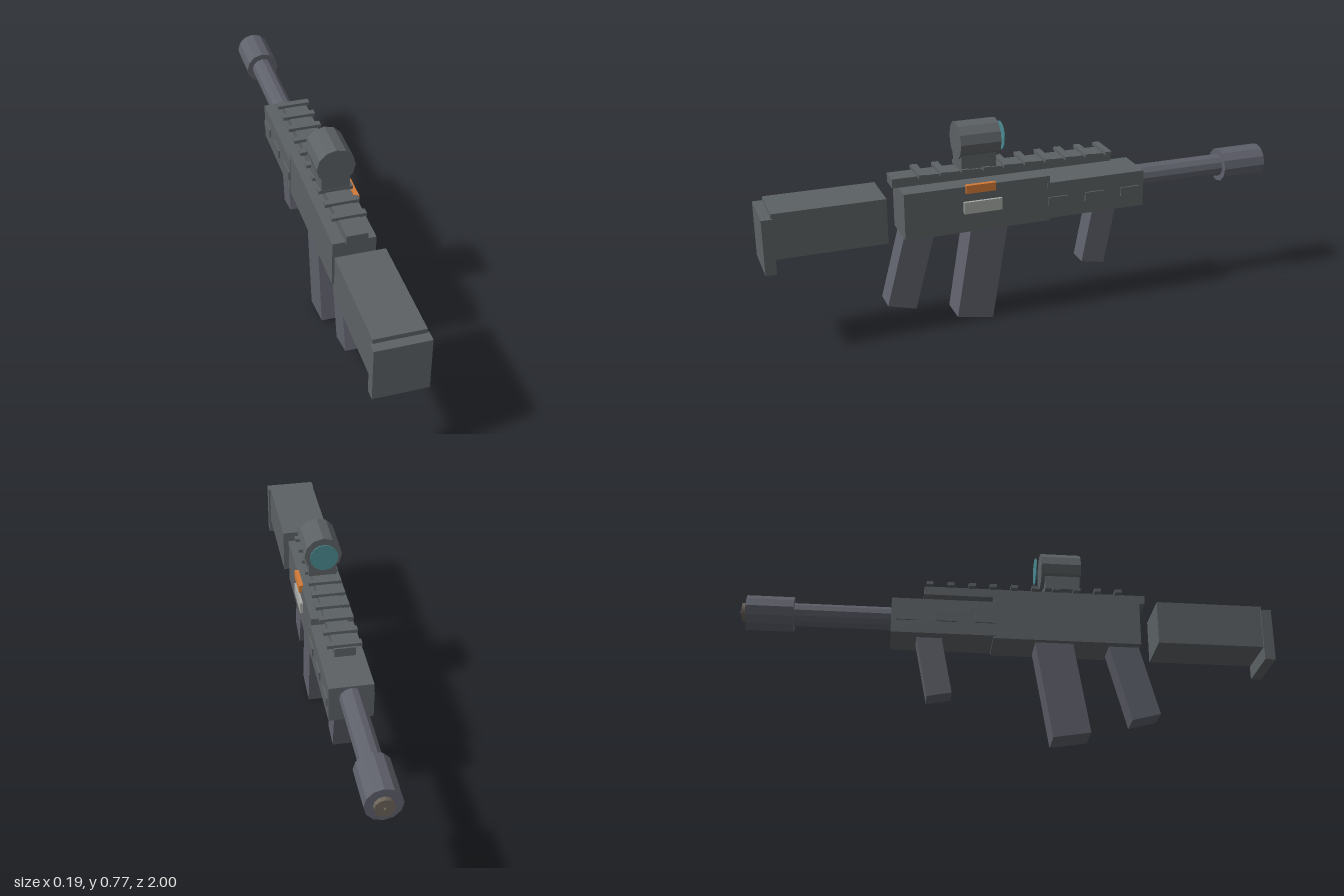
import * as THREE from 'three';

const mat = (name, color, flat = false) => {
  const m = new THREE.MeshStandardMaterial({ color, flatShading: flat });
  m.name = name;
  return m;
};

export function createModel() {
  const group = new THREE.Group();
  const body = mat('gunmetal grey', 0x5c6164, true);
  const steel = mat('blue grey', 0x5e606a, true);
  const orange = mat('orange', 0xd07a38);
  const silver = mat('pale grey', 0xa6a9a6);
  const teal = mat('lens teal', 0x4a8a90);
  const bore = mat('bore brown', 0x6a6258);

  const add = (name, geo, material, x, y, z) => {
    const mesh = new THREE.Mesh(geo, material);
    mesh.name = name;
    mesh.position.set(x, y, z);
    group.add(mesh);
    return mesh;
  };

  // Box given by its extents on each axis
  const box = (name, material, [x0, x1], [y0, y1], [z0, z1]) =>
    add(name, new THREE.BoxGeometry(x1 - x0, y1 - y0, z1 - z0), material,
      (x0 + x1) / 2, (y0 + y1) / 2, (z0 + z1) / 2);

  // Cylinder lying along z
  const tube = (name, material, r, y, z0, z1, sides = 12) =>
    add(name, new THREE.CylinderGeometry(r, r, z1 - z0, sides).rotateX(-Math.PI / 2),
      material, 0, y, (z0 + z1) / 2);

  // Leaning box, placed by the centre of its lower end
  const leaning = (name, width, depth, length, y, z, angle) => {
    const geo = new THREE.BoxGeometry(width, length, depth).translate(0, length / 2, 0);
    add(name, geo, steel, 0, y, z).rotation.x = -angle;
  };

  // Stock
  box('stock', body, [-0.09, 0.09], [0.38, 0.55], [0.56, 0.965]);
  box('buttPlate', body, [-0.097, 0.097], [0.327, 0.533], [0.96, 1]);

  // Receiver and handguard
  box('receiver', body, [-0.078, 0.078], [0.376, 0.552], [-0.06, 0.495]);
  box('handguard', body, [-0.08, 0.08], [0.385, 0.525], [-0.44, -0.05]);
  for (const side of [-1, 1])
    for (let i = 0; i < 3; i++) {
      const z = -0.383 + i * 0.146;
      add('handguardVent', new THREE.BoxGeometry(0.012, 0.034, 0.076), body, side * 0.08, 0.452, z);
    }

  // Grips and magazine
  leaning('rearGrip', 0.092, 0.11, 0.32, 0.097, 0.509, 0.26);
  leaning('magazine', 0.113, 0.141, 0.4, 0.013, 0.23, 0.165);
  leaning('foregrip', 0.08, 0.093, 0.26, 0.159, -0.254, 0.19);

  // Barrel and muzzle
  tube('barrel', steel, 0.043, 0.476, -0.82, -0.43);
  tube('muzzle', steel, 0.065, 0.476, -0.975, -0.8);
  tube('muzzleTip', bore, 0.035, 0.476, -0.992, -0.97);
  tube('bore', bore, 0.005, 0.476, -1, -0.98, 8);

  // Top rail
  box('rail', body, [-0.038, 0.038], [0.566, 0.6], [-0.32, 0.525]);
  for (let i = 0; i < 10; i++) {
    const z = 0.42 - i * 0.08;
    box('railTooth', body, [-0.062, 0.062], [0.598, 0.611], [z - 0.013, z + 0.013]);
  }

  // Sight
  box('sightMount', body, [-0.052, 0.052], [0.608, 0.678], [0.14, 0.272]);
  tube('sightBody', body, 0.07, 0.705, 0.125, 0.277);
  tube('sightLens', teal, 0.053, 0.705, 0.105, 0.109, 16);

  // Details on the left side only
  box('chargingHandle', orange, [0.072, 0.089], [0.528, 0.559], [0.155, 0.267]);
  box('ejectionPort', silver, [0.074, 0.089], [0.45, 0.495], [0.13, 0.275]);

  return group;
}
